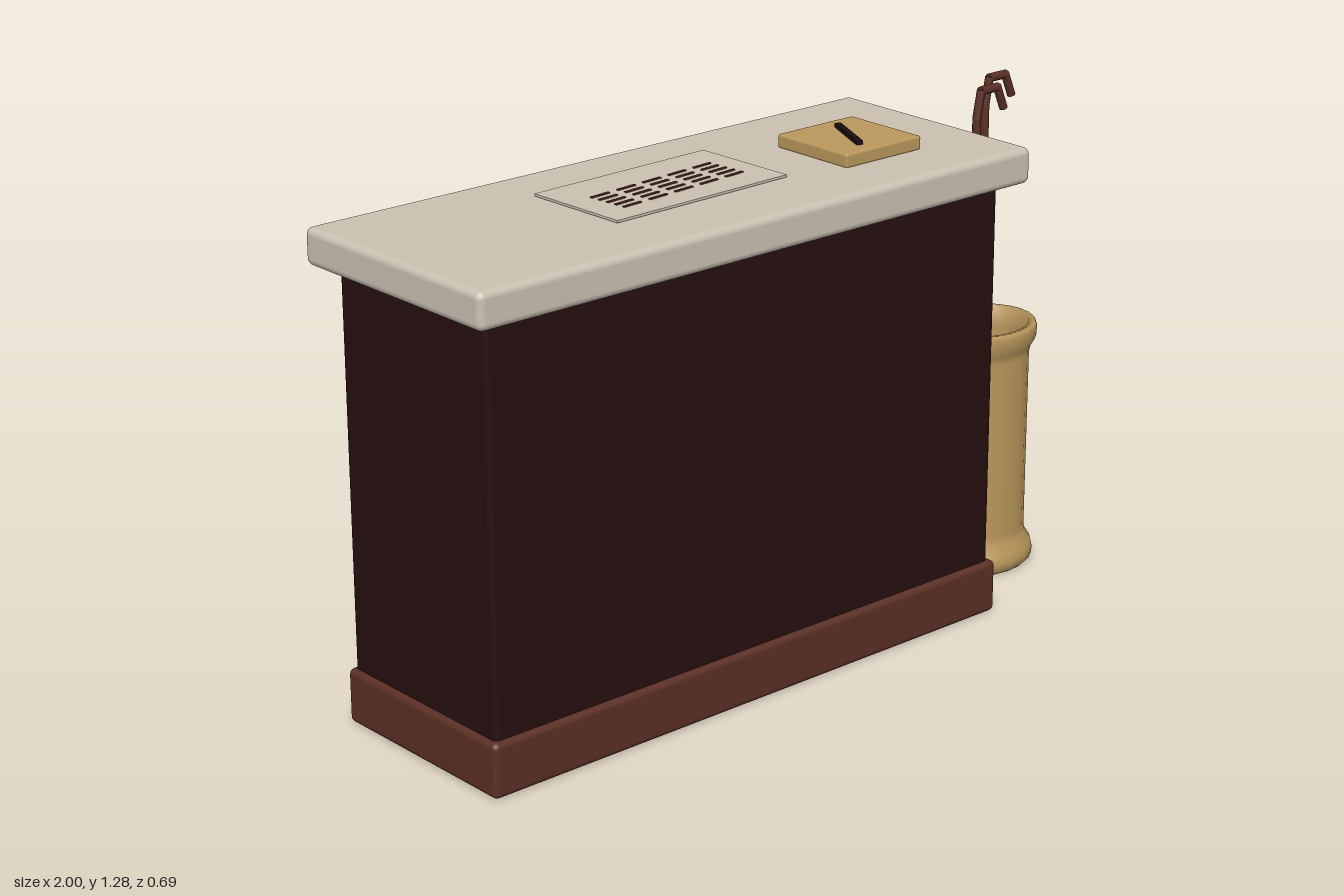
import * as THREE from 'three';
import { RoundedBoxGeometry } from 'three/addons/geometries/RoundedBoxGeometry.js';

const mat = (name, color, extra = {}) => {
  const m = new THREE.MeshStandardMaterial({ color, ...extra });
  m.name = name;
  return m;
};

export function createModel() {
  const darkWood = mat('dark wood', 0x260e0e);
  const redWood = mat('red wood', 0x5a2f25);
  const stone = mat('pale stone', 0xc9c0b1);
  const gold = mat('gold', 0xb9975b);
  const goldFacet = mat('gold facet', 0xb9975b, { flatShading: true });
  const brass = mat('brass vessel', 0xb9975b, { side: THREE.DoubleSide });
  const green = mat('green cloth', 0x2c594e);
  const black = mat('black', 0x17100f);

  const root = new THREE.Group();
  root.name = 'receptionCounter';

  const add = (parent, name, geo, material, x = 0, y = 0, z = 0) => {
    const m = new THREE.Mesh(geo, material);
    m.name = name;
    m.position.set(x, y, z);
    parent.add(m);
    return m;
  };
  // Rounded box given by its limits on each axis
  const block = (parent, name, [x0, x1], [y0, y1], [z0, z1], r, material) =>
    add(parent, name, new RoundedBoxGeometry(x1 - x0, y1 - y0, z1 - z0, 3, r), material,
      (x0 + x1) / 2, (y0 + y1) / 2, (z0 + z1) / 2);

  // Counter
  block(root, 'plinth', [-0.96, 0.63], [0, 0.137], [-0.25, 0.305], 0.015, redWood);
  block(root, 'body', [-0.945, 0.615], [0.1, 1.13], [-0.24, 0.29], 0.015, darkWood);
  block(root, 'counterTop', [-1, 0.67], [1.12, 1.21], [-0.29, 0.345], 0.018, stone);

  // Rectangular frame with bevelled edges, from z = 0 to depth
  const rect = (P, w, h) => {
    const p = new P();
    p.moveTo(-w / 2, -h / 2);
    p.lineTo(w / 2, -h / 2);
    p.lineTo(w / 2, h / 2);
    p.lineTo(-w / 2, h / 2);
    p.closePath();
    return p;
  };
  const frame = (w, h, t, depth, b) => {
    const s = rect(THREE.Shape, w - 2 * b, h - 2 * b);
    s.holes.push(rect(THREE.Path, w - 2 * t + 2 * b, h - 2 * t + 2 * b));
    const g = new THREE.ExtrudeGeometry(s, {
      depth: depth - 2 * b, bevelEnabled: b > 0, bevelSize: b, bevelThickness: b, bevelSegments: 3,
    });
    return g.translate(0, 0, b);
  };

  // Ornate panels on the back
  for (const cx of [-0.53, 0.2]) {
    const panel = new THREE.Group();
    panel.name = 'backPanel';
    panel.position.set(cx, 0.63, -0.24);
    panel.rotation.y = Math.PI;
    root.add(panel);

    block(panel, 'panelBoard', [-0.35, 0.35], [-0.42, 0.42], [-0.01, 0.04], 0.012, darkWood);
    add(panel, 'moulding', frame(0.62, 0.76, 0.045, 0.036, 0.012), redWood, 0, 0, 0.04);
    add(panel, 'panelField', new THREE.BoxGeometry(0.55, 0.69, 0.03), darkWood, 0, 0, 0.053);
    add(panel, 'goldInlay', frame(0.53, 0.66, 0.009, 0.011, 0), gold, 0, 0, 0.067);

    // Boss and flower
    const boss = add(panel, 'boss', new THREE.SphereGeometry(0.034, 12, 8), gold, 0, 0.155, 0.072);
    boss.scale.z = 0.45;
    const heart = add(panel, 'flowerHeart', new THREE.SphereGeometry(0.028, 12, 8), redWood, 0, 0, 0.074);
    heart.scale.z = 0.6;
    for (let i = 0; i < 8; i++) {
      const a = (i * Math.PI) / 4;
      const petal = add(panel, 'petal', new THREE.SphereGeometry(1, 10, 8), redWood,
        Math.cos(a) * 0.06, Math.sin(a) * 0.06, 0.072);
      petal.scale.set(0.04, 0.017, 0.013);
      petal.rotation.z = a;
    }

    // Scrolls and leaves on both sides
    for (const s of [-1, 1]) {
      const scroll = add(panel, 'scroll',
        new THREE.TorusGeometry(0.085, 0.014, 8, 28, 1.25 * Math.PI), redWood, s * 0.18, 0.03, 0.074);
      scroll.rotation.z = (s > 0 ? -0.05 : -0.2) * Math.PI;
      for (let i = 0; i < 3; i++) {
        const leaf = add(panel, 'leaf', new THREE.OctahedronGeometry(1, 1), goldFacet,
          s * (0.145 + i * 0.077), -0.03 + i * 0.012, 0.078);
        leaf.scale.set(0.022, 0.058, 0.024);
        leaf.rotation.z = -s * 0.4;
      }
    }
  }

  // Paper sheet with rows of dashes
  const sheet = add(root, 'paperSheet', new THREE.BoxGeometry(0.525, 0.006, 0.285), stone, -0.21, 1.215, 0.01);
  sheet.rotation.y = 0.028;
  const writing = new THREE.Group();
  writing.name = 'inkRows';
  writing.position.set(-0.205, 1.2195, 0.025);
  writing.rotation.y = 0.08;
  root.add(writing);
  for (let r = 0; r < 5; r++)
    for (let c = 0; c < 5; c++)
      add(writing, 'inkDash', new THREE.BoxGeometry(0.056, 0.003, 0.007), redWood,
        (c - 2) * 0.083, 0, (r - 2) * 0.026);

  // Tray with pen
  block(root, 'tray', [0.215, 0.46], [1.208, 1.243], [-0.06, 0.18], 0.006, gold);
  const pen = add(root, 'pen', new THREE.BoxGeometry(0.165, 0.01, 0.016), black, 0.33, 1.248, 0.065);
  pen.rotation.y = Math.atan2(0.15, 0.07);

  // Oval umbrella stand with a hollow inside
  const profile = [
    [0, 0], [0.145, 0], [0.158, 0.012], [0.16, 0.03], [0.155, 0.05], [0.138, 0.075], [0.135, 0.1],
    [0.135, 0.57], [0.14, 0.59], [0.153, 0.61], [0.155, 0.64], [0.15, 0.65], [0.132, 0.65],
    [0.122, 0.6], [0.12, 0.04], [0, 0.04],
  ].map(([x, y]) => new THREE.Vector2(x, y));
  const stand = add(root, 'umbrellaStand', new THREE.LatheGeometry(profile, 24), brass, 0.84, 0, 0.025);
  stand.scale.z = 0.88;

  // Umbrellas with hooked handles
  for (const [x, z] of [[0.783, 0.05], [0.888, -0.024]]) {
    const umbrella = new THREE.Group();
    umbrella.name = 'umbrella';
    umbrella.position.set(x, 0, z);
    root.add(umbrella);
    add(umbrella, 'canopy', new THREE.CylinderGeometry(0.014, 0.028, 1.01, 12), green, 0, 0.545, 0);
    const hook = new THREE.CurvePath();
    const pts = [[0, 1.04], [0, 1.2], [0.013, 1.267], [0.07, 1.267], [0.093, 1.212]]
      .map(([px, py]) => new THREE.Vector3(px, py, 0));
    for (let i = 1; i < pts.length; i++) {
      const dir = pts[i].clone().sub(pts[i - 1]);
      const rod = add(umbrella, 'handle', new THREE.CylinderGeometry(0.011, 0.011, dir.length() + 0.006, 10), redWood);
      rod.position.copy(pts[i]).add(pts[i - 1]).multiplyScalar(0.5);
      rod.quaternion.setFromUnitVectors(new THREE.Vector3(0, 1, 0), dir.normalize());
    }
  }
  return root;
}
